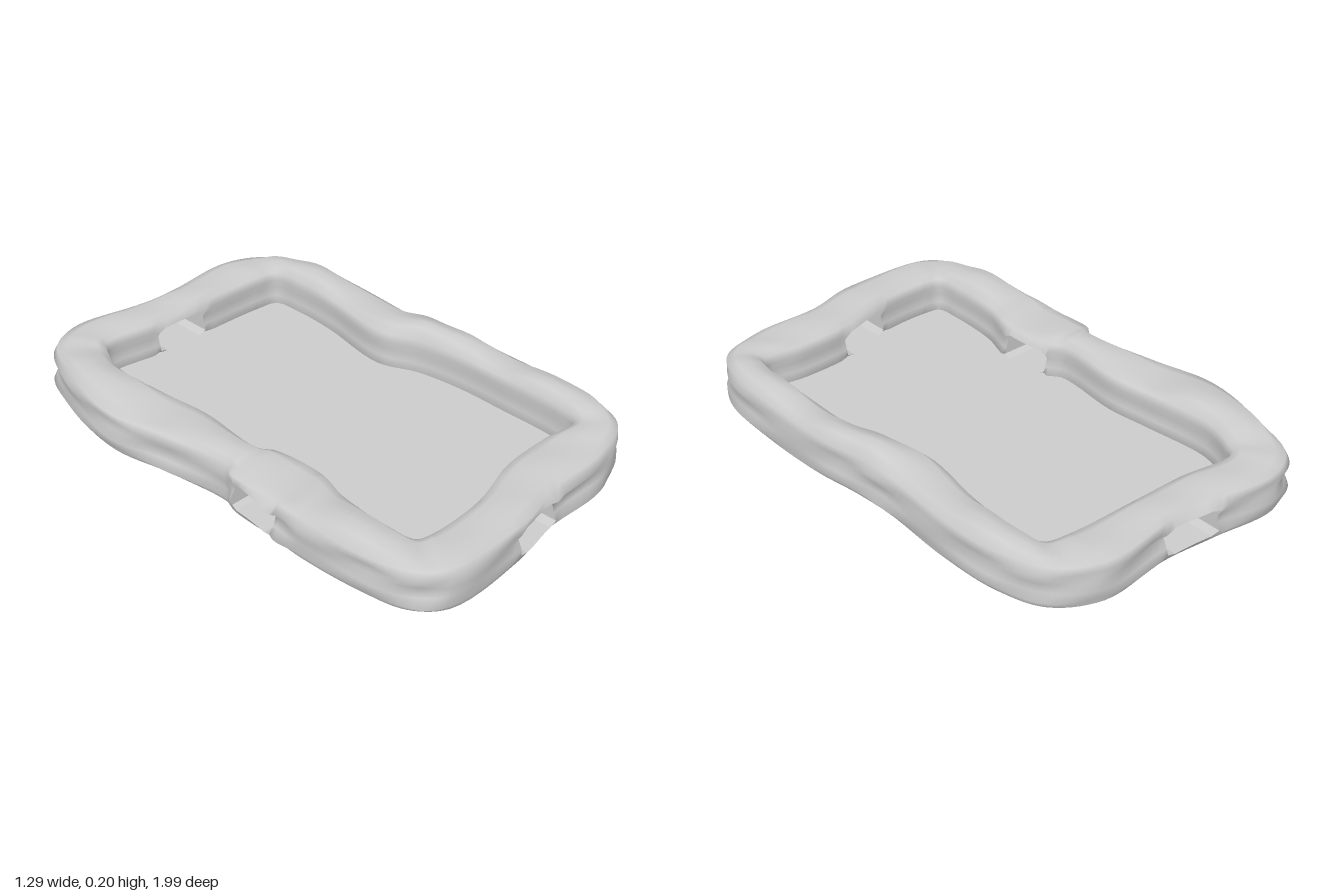
import * as THREE from 'three';

// Wall stations, counter-clockwise seen from above: [outer x, outer z, inner x, inner z]
const STATIONS = [
  // front, starting at the port
  [-0.12, 0.975, -0.12, 0.78], [0.1, 0.935, 0.1, 0.715], [0.38, 0.922, 0.3, 0.705],
  [0.53, 0.86, 0.46, 0.715], [0.61, 0.74, 0.485, 0.62],
  // left side
  [0.637, 0.5, 0.49, 0.4], [0.635, 0.2, 0.49, 0.18], [0.61, 0, 0.465, 0],
  [0.605, -0.17, 0.41, -0.15], [0.62, -0.45, 0.455, -0.45], [0.605, -0.7, 0.465, -0.64],
  // back
  [0.54, -0.87, 0.45, -0.745], [0.38, -0.965, 0.36, -0.765], [0.1, -0.945, 0.1, -0.775],
  [-0.12, -0.967, -0.12, -0.778], [-0.37, -0.992, -0.34, -0.8], [-0.5, -0.92, -0.38, -0.74],
  // right side
  [-0.59, -0.73, -0.415, -0.63], [-0.642, -0.43, -0.4, -0.38], [-0.6, -0.2, -0.385, -0.2],
  [-0.566, 0.07, -0.407, 0.07], [-0.588, 0.13, -0.37, 0.13], [-0.597, 0.33, -0.355, 0.33],
  [-0.605, 0.45, -0.395, 0.47], [-0.59, 0.7, -0.41, 0.68], [-0.55, 0.88, -0.4, 0.775],
  [-0.45, 0.975, -0.34, 0.79],
];

// Half wall section, mirrored for the inner face: distance across the wall and
// height; the last two rows form the crest and give height as a share of it
const ACROSS = [0.06, -0.01, 0.02, 0.06, 0, 0.06, 0.22, 0.5];
const HEIGHT = [0, 0.022, 0.055, 0.088, 0.122, 0.15, 0.985, 1];
const LAST = 14, ROWS = LAST + 1, LOW = 1, HIGH = 4;
const FLOOR = 0.02, SUB = 7, COUNT = STATIONS.length * SUB;
// Openings given as first and last station: front, back, right side
const PORTS = [[0, 1], [13, 14], [21, 22]].map((p) => p.map((n) => n * SUB));

// Height of the wavy rim
const rim = (x, z) =>
  0.173 + 0.012 * Math.cos((z * Math.PI * 2) / 0.65) + 0.02 * x * Math.exp(-((z / 0.3) ** 2));

// Grid of wall points, grid[station][row]
function wallGrid() {
  const loop = (k) => new THREE.CatmullRomCurve3(
    STATIONS.map((s) => new THREE.Vector3(s[k], 0, s[k + 1])), true, 'centripetal');
  const outer = loop(0), inner = loop(2);
  return Array.from({ length: COUNT }, (_, i) => {
    const u = i / COUNT, a = u * Math.PI * 2;
    const o = outer.getPoint(u), n = inner.getPoint(u);
    const atEnd = PORTS.some((p) => p.includes(i));
    return Array.from({ length: ROWS }, (_, j) => {
      const k = Math.min(j, LAST - j), inside = j > LAST / 2;
      let t = inside ? 1 - ACROSS[k] : ACROSS[k];
      let y = HEIGHT[k];
      // shallow uneven ridges along the outer face
      if (j > 0 && j < 6) t += 0.03 * Math.sin(a * 9 + j * 2.1) + 0.018 * Math.sin(a * 17 - j * 1.7);
      if (k >= 6) y = y * rim(o.x, o.z) + 0.003 * Math.sin(a * 23 + j);
      // rounded port ends
      if (atEnd && k === LOW) y += 0.01;
      if (atEnd && k === HIGH) y -= 0.013;
      if (inside) y = Math.max(y, FLOOR);
      return o.clone().lerp(n, t).setY(y);
    });
  });
}

function part(name, points, index, material) {
  const g = new THREE.BufferGeometry().setFromPoints(points);
  g.setIndex(index);
  g.computeVertexNormals();
  const mesh = new THREE.Mesh(g, material);
  mesh.name = name;
  return mesh;
}

export function createModel() {
  const group = new THREE.Group();
  group.name = 'tray';
  const material = new THREE.MeshStandardMaterial({ color: 0xcccccc, side: THREE.DoubleSide });
  const grid = wallGrid();

  // Wall shell, leaving the ports open on both faces
  const index = [];
  for (let i = 0; i < COUNT; i++) {
    const inPort = PORTS.some(([s, e]) => i >= s && i < e);
    for (let j = 0; j < LAST; j++) {
      const k = Math.min(j, LAST - 1 - j);
      if (inPort && k >= LOW && k < HIGH) continue;
      const a = i * ROWS + j, b = ((i + 1) % COUNT) * ROWS + j;
      index.push(a, b, b + 1, a, b + 1, a + 1);
    }
  }
  group.add(part('wall', grid.flat(), index, material));

  // Port linings: sill, ceiling and two cheeks through the wall
  const names = ['frontPort', 'backPort', 'sidePort'];
  PORTS.forEach(([s, e], n) => {
    const points = [], faces = [];
    const quad = (...corners) => {
      const m = points.length;
      points.push(...corners);
      faces.push(m, m + 1, m + 2, m, m + 2, m + 3);
    };
    const out = (i, j) => grid[i][j], inn = (i, j) => grid[i][LAST - j];
    for (let i = s; i < e; i++) {
      quad(out(i, LOW), out(i + 1, LOW), inn(i + 1, LOW), inn(i, LOW));
      quad(out(i, HIGH), inn(i, HIGH), inn(i + 1, HIGH), out(i + 1, HIGH));
    }
    for (let j = LOW; j < HIGH; j++) {
      quad(out(s, j), inn(s, j), inn(s, j + 1), out(s, j + 1));
      quad(out(e, j), out(e, j + 1), inn(e, j + 1), inn(e, j));
    }
    group.add(part(names[n], points, faces, material));
  });

  // Inside floor and underside, each a fan about the centre
  const fan = (name, row, y, up) => {
    const points = [new THREE.Vector3(0, y, 0), ...grid.map((r) => r[row])];
    const faces = [];
    for (let i = 0; i < COUNT; i++) {
      const a = 1 + i, b = 1 + ((i + 1) % COUNT);
      faces.push(0, ...(up ? [a, b] : [b, a]));
    }
    group.add(part(name, points, faces, material));
  };
  fan('floor', LAST, FLOOR, true);
  fan('underside', 0, 0, false);
  return group;
}
